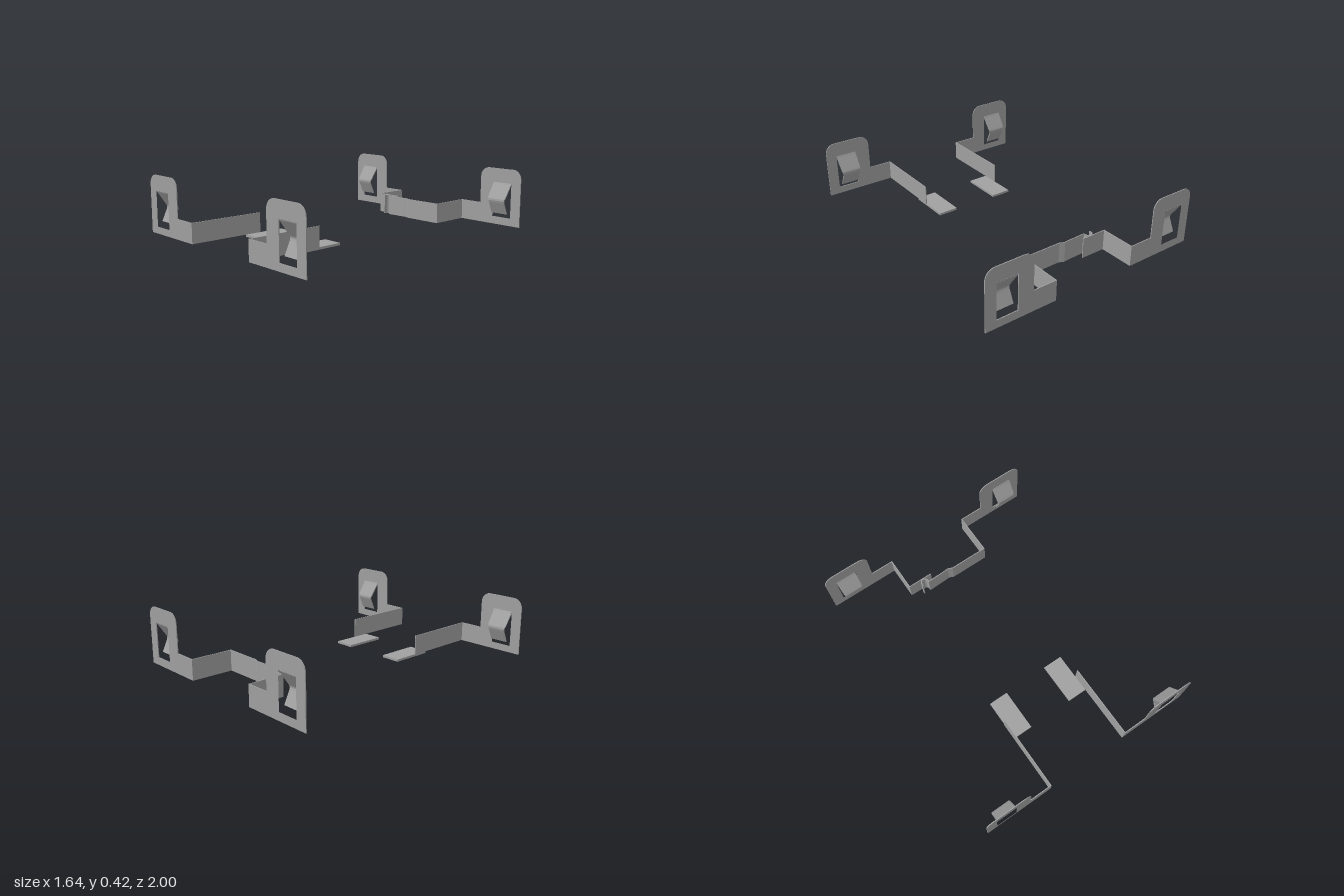
import * as THREE from 'three';

const T = 0.006; // sheet thickness
const steel = new THREE.MeshStandardMaterial({ color: 0xa0a0a0 });
steel.name = 'steel grey';

function add(parent, name, geometry) {
  const mesh = new THREE.Mesh(geometry, steel);
  mesh.name = name;
  parent.add(mesh);
  return mesh;
}

// Closed outline of constant thickness around an open centre line
function ribbonShape(points, t = T) {
  const p = points.map(([a, b]) => new THREE.Vector2(a, b));
  const left = [], right = [];
  p.forEach((c, i) => {
    const d0 = p[i].clone().sub(p[Math.max(i - 1, 0)]).normalize();
    const d1 = p[Math.min(i + 1, p.length - 1)].clone().sub(p[i]).normalize();
    const n0 = new THREE.Vector2(-d0.y, d0.x), n1 = new THREE.Vector2(-d1.y, d1.x);
    const m = n0.clone().add(n1).normalize();
    const ref = i === 0 ? n1 : n0;
    m.multiplyScalar(t / 2 / Math.max(m.dot(ref), 0.3));
    left.push(c.clone().add(m));
    right.unshift(c.clone().sub(m));
  });
  return new THREE.Shape([...left, ...right]);
}

// Upright strip that follows a plan path of [x, z] points
function strip(path, y0, y1) {
  const shape = ribbonShape(path.map(([x, z]) => [x, -z]));
  const g = new THREE.ExtrudeGeometry(shape, { depth: y1 - y0, bevelEnabled: false });
  return g.rotateX(-Math.PI / 2).translate(0, y0, 0);
}

// Flat mounting plate with rounded ear and window; side is +1 or -1 in x
function plateGeometry(side, end, y0) {
  const s = new THREE.Shape(), r = 0.07, k = 0.031;
  const x0 = 0.48, x1 = 0.82, top = 0.422;
  s.moveTo(side * 0.307, y0);
  s.lineTo(side * x1, y0);
  s.lineTo(side * x1, top - r);
  s.bezierCurveTo(side * x1, top - k, side * (x1 - k), top, side * (x1 - r), top);
  s.lineTo(side * (x0 + r), top);
  s.bezierCurveTo(side * (x0 + k), top, side * x0, top - k, side * x0, top - r);
  s.lineTo(side * x0, 0.155);
  s.lineTo(side * 0.307, 0.155);
  s.closePath();
  const window = [[0.59, 0.065], [0.743, 0.065], [0.743, 0.312], [0.59, 0.312]];
  s.holes.push(new THREE.Path(window.map(([x, y]) => new THREE.Vector2(side * x, y))));
  const g = new THREE.ExtrudeGeometry(s, { depth: T, bevelEnabled: false, curveSegments: 10 });
  return g.translate(0, 0, end > 0 ? 1 - T : -1);
}

// Bent spring tongue, leaning inwards and tapered below the bend
function tongueGeometry(side, end) {
  const path = [[0.997, 0.318], [0.99, 0.305], [0.933, 0.22], [0.926, 0.208],
    [0.925, 0.196], [0.93, 0.182], [0.968, 0.1]];
  const w = 0.15;
  const shape = ribbonShape(path.map(([z, y]) => [-z * end, y]), 0.008);
  const g = new THREE.ExtrudeGeometry(shape, { depth: w, bevelEnabled: false });
  g.translate(0, 0, -w / 2).rotateY(Math.PI / 2);
  const pos = g.attributes.position;
  for (let i = 0; i < pos.count; i++) {
    const y = pos.getY(i);
    const narrow = THREE.MathUtils.clamp((0.235 - y) / 0.045, 0, 1);
    pos.setX(i, pos.getX(i) * (1 - 0.14 * narrow) + side * 0.667);
  }
  g.computeVertexNormals();
  return g;
}

export function createModel() {
  const model = new THREE.Group();
  model.name = 'mountingClips';

  // Four window plates, each with a spring tongue
  for (const end of [1, -1]) {
    for (const side of [1, -1]) {
      const name = (end > 0 ? 'front' : 'back') + (side > 0 ? 'Left' : 'Right');
      add(model, name + 'Plate', plateGeometry(side, end, end > 0 ? 0.016 : 0.01));
      add(model, name + 'Tongue', tongueGeometry(side, end));
    }
  }

  // Front arms running inwards, each on a flat foot
  for (const side of [1, -1]) {
    const name = side > 0 ? 'Left' : 'Right';
    add(model, 'frontArm' + name,
      strip([[side * 0.31, 1 - T / 2], [side * 0.31, 0.458]], 0.016, 0.155));
    const foot = add(model, 'foot' + name, new THREE.BoxGeometry(0.143, 0.016, 0.3));
    foot.position.set(side * 0.236, 0.008, 0.428);
  }

  // Back right arm ends in a flat catch
  add(model, 'backCatch',
    strip([[-0.31, -1 + T / 2], [-0.31, -0.75], [-0.128, -0.75]], 0.01, 0.155));

  // Back left arm crosses over, jogs slightly and curls into a hook
  const hook = [];
  for (let i = 0; i <= 10; i++) {
    const a = Math.PI * i / 10;
    hook.push([-0.199 + 0.026 * Math.cos(a), -0.718 - 0.026 * Math.sin(a)]);
  }
  add(model, 'backHookArm', strip([
    [0.31, -1 + T / 2], [0.31, -0.698], [0.03, -0.698], [0.012, -0.706], [-0.005, -0.713],
    [-0.03, -0.71], [-0.1, -0.708], [-0.173, -0.706], ...hook, [-0.225, -0.702],
  ], 0.01, 0.155));

  return model;
}
